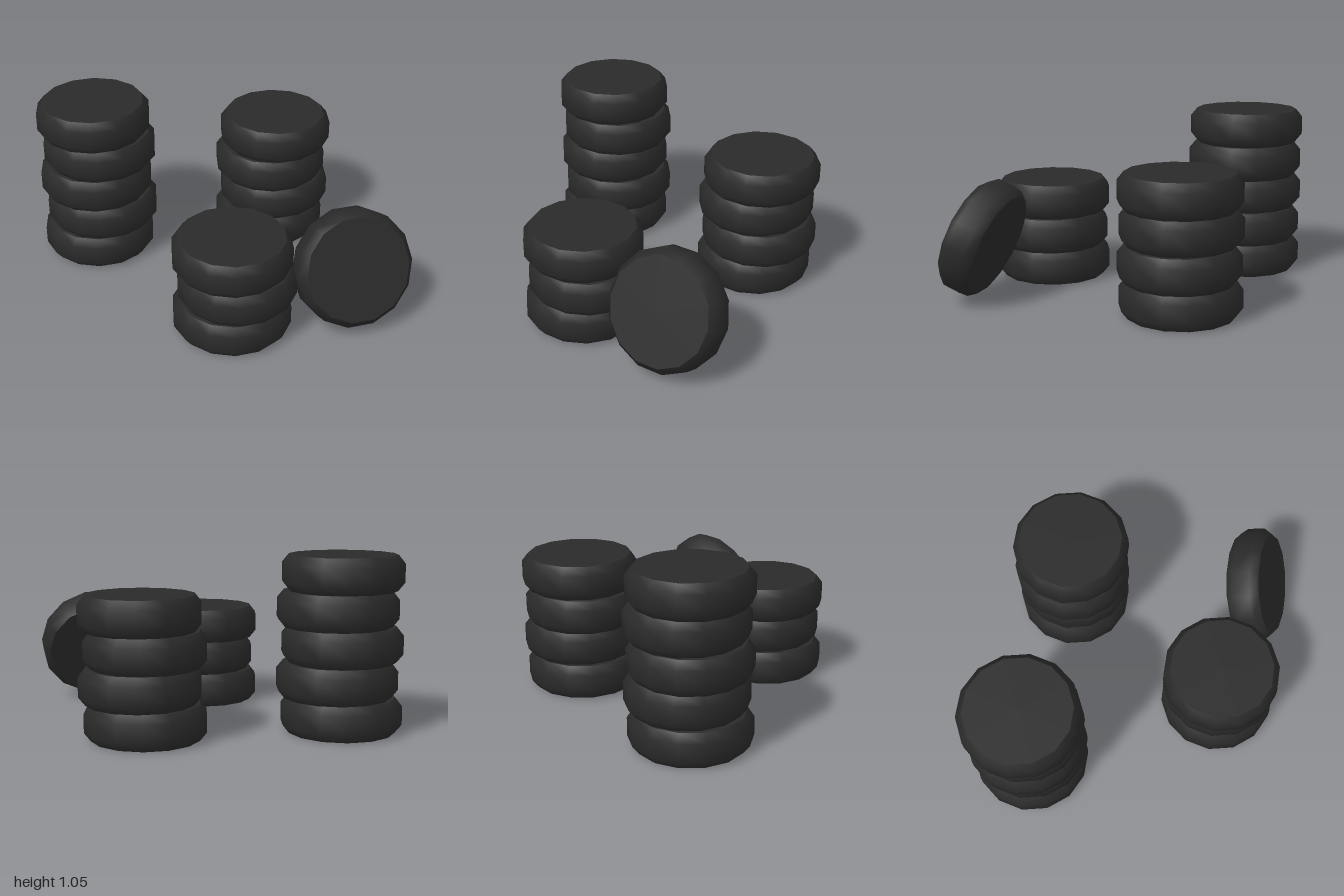
import * as THREE from 'three';

const R = 0.36, CAP = 0.32, H = 0.21, BEVEL = 0.05, SIDES = 14;

export function createModel() {
  const model = new THREE.Group();
  model.name = 'tyrePile';

  const rubber = new THREE.MeshStandardMaterial({ color: 0x2a2a2a });
  rubber.name = 'blackRubber';

  // Smooth tread with bevelled shoulders, closed by flat caps
  const treadGeo = new THREE.LatheGeometry([
    new THREE.Vector2(CAP, -H / 2),
    new THREE.Vector2(R, -H / 2 + BEVEL),
    new THREE.Vector2(R, H / 2 - BEVEL),
    new THREE.Vector2(CAP, H / 2),
  ], SIDES, Math.PI / 2);
  const topGeo = new THREE.CircleGeometry(CAP, SIDES).rotateX(-Math.PI / 2).translate(0, H / 2, 0);
  const bottomGeo = new THREE.CircleGeometry(CAP, SIDES).rotateX(Math.PI / 2).translate(0, -H / 2, 0);

  function makeTyre(name, x, y, z) {
    const tyre = new THREE.Group();
    tyre.name = name;
    const parts = { tread: treadGeo, topWall: topGeo, bottomWall: bottomGeo };
    for (const [part, geo] of Object.entries(parts)) {
      const mesh = new THREE.Mesh(geo, rubber);
      mesh.name = part;
      tyre.add(mesh);
    }
    tyre.position.set(x, y, z);
    return tyre;
  }

  // Stacks: every second tyre is nudged sideways
  const stacks = [
    { name: 'tallStack', x: -0.64, z: -0.57, count: 5 },
    { name: 'mediumStack', x: 0.52, z: -0.49, count: 4 },
    { name: 'shortStack', x: -0.06, z: 0.55, count: 3 },
  ];
  for (const { name, x, z, count } of stacks) {
    const stack = new THREE.Group();
    stack.name = name;
    for (let i = 0; i < count; i++) {
      stack.add(makeTyre('tyre' + (i + 1), x + (i % 2) * 0.03, H * (i + 0.5), z));
    }
    model.add(stack);
  }

  // Single tyre standing on its tread and leaning back
  const leaning = makeTyre('leaningTyre', 0.64, 0.38, 0.705);
  leaning.rotation.x = Math.PI / 2 - 0.37;
  model.add(leaning);

  return model;
}
